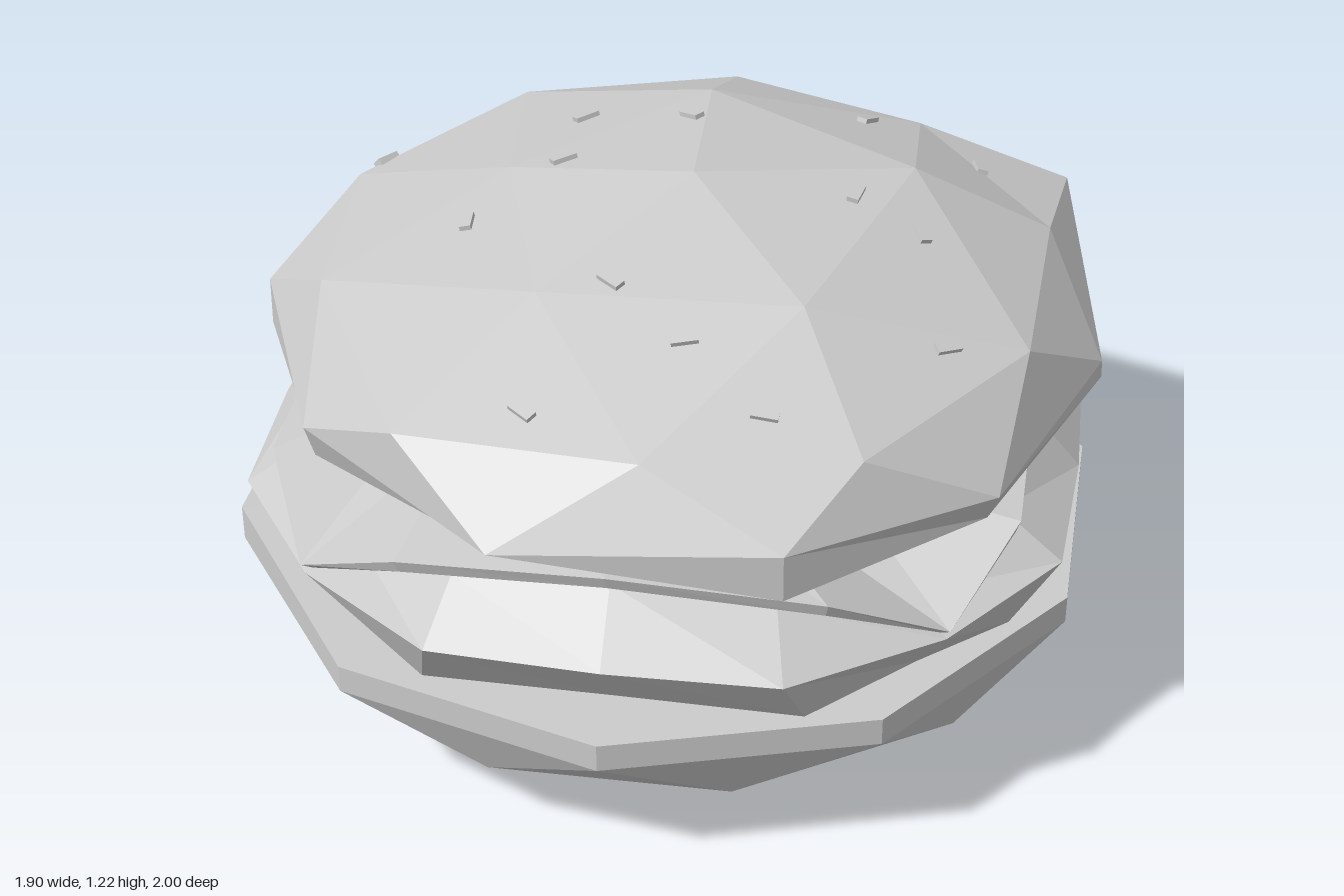
import * as THREE from 'three';

const Z0 = 0.03; // shared centre of the stack
const material = () => new THREE.MeshStandardMaterial({ color: 0xcccccc, flatShading: true });
const polar = (deg, r, y) => {
  const a = THREE.MathUtils.degToRad(deg);
  return new THREE.Vector3(Math.sin(a) * r, y, Math.cos(a) * r + Z0);
};

function meshFrom(name, triangles, flip = false) {
  const points = triangles.flatMap(([a, b, c]) => (flip ? [a, c, b] : [a, b, c]));
  const geometry = new THREE.BufferGeometry().setFromPoints(points);
  geometry.computeVertexNormals();
  const mesh = new THREE.Mesh(geometry, material());
  mesh.name = name;
  return mesh;
}

// Faceted half sphere with a short rim; tweaks shift single points [ring, index, dx, dy, dz]
function bun({ name, start, radius, poleY, equatorY, rimY, rimScale, tweaks }) {
  const h = poleY - equatorY;
  const ring = (n, offset, fn) => Array.from({ length: n }, (_, i) => {
    const [r, y] = fn(i);
    return polar(start + offset + (i * 360) / n, r * radius, y);
  });
  const tip = [polar(0, 0, poleY)];
  const crown = ring(5, 0, () => [0.526, equatorY + 0.851 * h]);
  const shoulder = ring(10, 0, (i) => (i % 2 ? [0.851, equatorY + 0.526 * h] : [0.894, equatorY + 0.447 * h]));
  const equator = ring(10, 18, () => [1, equatorY]);
  const rim = ring(10, 18, () => [rimScale, rimY]);
  const rings = { tip, crown, shoulder, equator, rim };
  for (const [key, i, dx, dy, dz] of tweaks) rings[key][i].add(new THREE.Vector3(dx, dy, dz));

  const tris = [];
  for (let k = 0; k < 5; k++) {
    const a = crown[k], b = crown[(k + 1) % 5];
    const s0 = shoulder[2 * k], s1 = shoulder[2 * k + 1], s2 = shoulder[(2 * k + 2) % 10];
    tris.push([tip[0], a, b], [a, s0, s1], [a, s1, b], [b, s1, s2]);
  }
  const capCentre = polar(0, 0, rimY);
  for (let j = 0; j < 10; j++) {
    const n = (j + 1) % 10, p = (j + 9) % 10;
    tris.push([shoulder[j], equator[j], shoulder[n]], [shoulder[j], equator[p], equator[j]]);
    tris.push([equator[j], rim[j], rim[n]], [equator[j], rim[n], equator[n]]);
    tris.push([capCentre, rim[n], rim[j]]);
  }
  return meshFrom(name, tris, h < 0);
}

// Closed solid skinned over 16-point rings, listed from top to bottom
function stackOfRings(name, topY, rings, bottomY) {
  const top = polar(0, 0, topY), bottom = polar(0, 0, bottomY);
  const last = rings[rings.length - 1];
  const tris = [];
  for (let i = 0; i < 16; i++) {
    const n = (i + 1) % 16;
    tris.push([top, rings[0][i], rings[0][n]], [bottom, last[n], last[i]]);
    for (let k = 0; k + 1 < rings.length; k++) {
      const a = rings[k], b = rings[k + 1];
      tris.push([a[i], b[i], b[n]], [a[i], b[n], a[n]]);
    }
  }
  return meshFrom(name, tris);
}

// Ring repeated over four quarters: [angle, radius, y] at side, between and corner;
// stretch lengthens the front and back and shortens the sides
function fourFoldRing(side, between, corner, stretch = 0) {
  const points = [];
  for (let q = 0; q < 4; q++) {
    const middle = [side[0], side[1] + (q % 2 ? -stretch : stretch), side[2]];
    const quarter = [middle, between, corner, [90 - between[0], between[1], between[2]]];
    for (const [a, r, y] of quarter) points.push(polar(q * 90 + a, r, y));
  }
  return points;
}

export function createModel() {
  const group = new THREE.Group();
  group.name = 'burger';

  group.add(bun({
    name: 'bottomBun', start: -90, radius: 0.97, poleY: 0, equatorY: 0.335, rimY: 0.4, rimScale: 1,
    tweaks: [
      ['shoulder', 0, -0.03, 0.01, 0], ['shoulder', 5, 0.03, 0.015, 0], ['shoulder', 8, -0.01, -0.02, -0.05],
      ['equator', 0, -0.03, 0, 0], ['rim', 0, -0.03, 0.02, 0],
      ['equator', 1, -0.02, 0, 0.02], ['rim', 1, -0.02, 0, 0.02],
      ['equator', 7, 0, 0, -0.05], ['rim', 7, 0, 0.05, -0.06],
      ['rim', 8, -0.02, 0.02, -0.03], ['rim', 9, -0.02, 0.02, 0],
    ],
  }));

  group.add(stackOfRings('patty', 0.69, [
    fourFoldRing([0, 0.8, 0.69], [24, 0.84, 0.65], [45, 0.84, 0.585]),
    fourFoldRing([0, 0.92, 0.55], [22.5, 0.98, 0.55], [45, 0.97, 0.55]),
    fourFoldRing([0, 0.8, 0.4], [27, 0.9, 0.4], [45, 0.88, 0.435]),
  ], 0.4));

  // Square slice with drooping corners
  group.add(stackOfRings('cheeseSlice', 0.77, [
    fourFoldRing([0, 0.5, 0.76], [22, 0.52, 0.76], [45, 0.56, 0.755]),
    fourFoldRing([0, 0.83, 0.74], [29, 0.93, 0.7], [45, 0.98, 0.575], 0.02),
    fourFoldRing([0, 0.82, 0.71], [29, 0.92, 0.67], [45, 0.95, 0.555], 0.02),
    fourFoldRing([0, 0.5, 0.73], [22, 0.52, 0.73], [45, 0.56, 0.725]),
  ], 0.73));

  const topBun = bun({
    name: 'topBun', start: 36, radius: 0.95, poleY: 1.22, equatorY: 0.83, rimY: 0.765, rimScale: 0.97,
    tweaks: [
      ['tip', 0, 0.04, 0, 0],
      ['crown', 0, 0.04, -0.03, -0.03], ['crown', 1, 0.03, 0.01, -0.03],
      ['crown', 3, 0.07, -0.05, 0.01], ['crown', 4, 0.06, -0.045, -0.02],
      ['shoulder', 0, 0, -0.03, 0], ['shoulder', 9, 0.06, -0.05, -0.02], ['shoulder', 8, 0.04, -0.03, 0.06],
      ['shoulder', 6, 0.02, -0.01, 0], ['shoulder', 7, 0.03, -0.02, 0],
      ['shoulder', 4, 0, -0.01, -0.05], ['shoulder', 1, 0.03, -0.04, 0],
      ['equator', 2, 0.06, 0.1, -0.08], ['rim', 2, 0.07, 0.03, -0.09],
      ['equator', 3, 0, 0.02, 0.02], ['rim', 3, 0, 0.035, 0.02], ['rim', 4, 0, 0.02, 0.02],
      ['rim', 1, 0.03, 0.025, 0], ['equator', 6, 0.01, 0.02, 0], ['rim', 6, -0.02, -0.03, 0],
      ['equator', 7, 0.07, 0.02, 0.02], ['rim', 7, 0.06, 0, 0.01],
      ['equator', 8, 0.07, 0.01, 0.04], ['rim', 8, 0.08, 0, -0.03],
      ['equator', 9, 0.07, 0.01, -0.05], ['rim', 9, 0.08, -0.03, -0.02],
    ],
  });
  group.add(topBun);

  // Sesame seeds [x, z, turn], dropped onto the bun and laid along its facets
  const seeds = [
    [-0.28, -0.38, 40], [-0.02, -0.31, -40], [0.36, -0.51, 65], [0.63, -0.45, -75], [-0.74, -0.3, 60],
    [-0.28, -0.12, 35], [0.39, -0.01, 80], [0.54, 0.05, -60], [-0.45, 0.11, -85], [-0.08, 0.37, -35],
    [0.63, 0.36, 35], [0.1, 0.51, 15], [-0.2, 0.71, -35], [0.29, 0.66, 0],
  ];
  const seedGeometry = new THREE.BoxGeometry(0.058, 0.022, 0.026);
  const seedMaterial = material();
  const up = new THREE.Vector3(0, 1, 0);
  const ray = new THREE.Raycaster();
  for (const [x, z, turn] of seeds) {
    ray.set(new THREE.Vector3(x, 2, z), new THREE.Vector3(0, -1, 0));
    const hit = ray.intersectObject(topBun)[0];
    if (!hit) continue;
    const seed = new THREE.Mesh(seedGeometry, seedMaterial);
    seed.name = 'sesameSeed';
    seed.position.copy(hit.point);
    seed.quaternion.setFromUnitVectors(up, hit.face.normal);
    seed.rotateY(THREE.MathUtils.degToRad(turn));
    group.add(seed);
  }
  return group;
}
